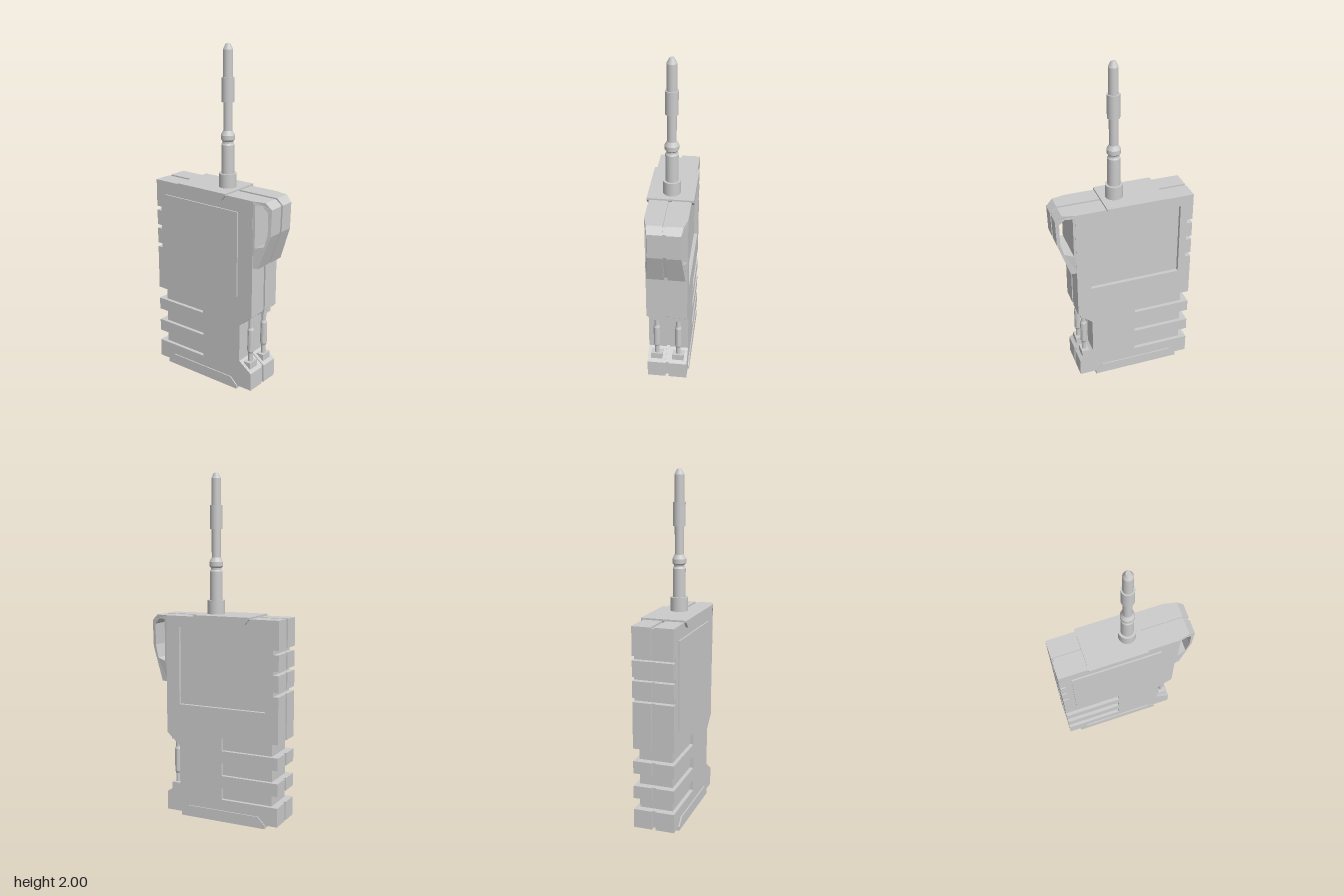
import * as THREE from 'three';

const BACK = -0.408;
const mat = new THREE.MeshStandardMaterial({ color: 0xcccccc, flatShading: true });
const smooth = new THREE.MeshStandardMaterial({ color: 0xcccccc });
const toShape = pts => new THREE.Shape(pts.map(p => new THREE.Vector2(p[0], p[1])));

// Extrudes a (z, y) outline sideways from x0 to x1
function slab(pts, x0, x1, holes = []) {
  const shape = toShape(pts);
  holes.forEach(h => shape.holes.push(toShape(h)));
  const geo = new THREE.ExtrudeGeometry(shape, { depth: x1 - x0, bevelEnabled: false });
  return geo.rotateY(-Math.PI / 2).translate(x1, 0, 0);
}

// Side outline of the body: d insets it, slotEnd is how far the rear slots reach forward
function bodyOutline(d, slotEnd) {
  const f = 0.3 - d, b = BACK + d;
  const pts = [[f, 1.19 - d], [f, 0.495], [0.215 - d, 0.42], [0.215 - d, 0.19], [f, 0.13], [f, 0.02 + d], [b, 0.02 + d]];
  const slots = [
    [0.13, 0.198, slotEnd], [0.272, 0.347, slotEnd], [0.42, 0.495, slotEnd],
    [0.765, 0.79, -0.375], [0.885, 0.908, -0.375], [1.0, 1.025, -0.375],
  ];
  for (const [y0, y1, end] of slots) pts.push([b, y0], [end, y0], [end, y1], [b, y1]);
  pts.push([b, 1.19 - d]);
  return pts;
}

const handleHole = [[0.313, 1.168], [0.355, 1.168], [0.386, 1.135], [0.386, 1.01], [0.366, 0.935], [0.313, 0.92]];
const handleOutline = d => [
  [0.29, 0.8 + d], [0.333 - d, 0.8 + d], [0.403 - d, 1.0], [0.408 - d, 1.155], [0.37 - d / 2, 1.19 - d], [0.29, 1.19 - d],
];

export function createModel() {
  const model = new THREE.Group();
  const add = (name, geo, material = mat, parent = model) => {
    const mesh = new THREE.Mesh(geo, material);
    mesh.name = name;
    parent.add(mesh);
    return mesh;
  };

  // Centre core, set back to leave a seam groove between the halves
  add('seamCore', slab(bodyOutline(0.01, -0.365), -0.01, 0.01));
  add('handleCore', slab(handleOutline(0.01), -0.01, 0.01, [handleHole]));

  // Two body halves, each with an inner block and an outer skin with longer slots
  const recess = [[0.217, 0.67], [0.217, 1.125], [-0.33, 1.125], [-0.33, 0.67]];
  for (const s of [1, -1]) {
    const side = s > 0 ? 'left' : 'right';
    const span = (a, b) => (s > 0 ? [a, b] : [-b, -a]);
    add(side + 'BodyHalf', slab(bodyOutline(0, -0.365), ...span(0.01, 0.098)));
    add(side + 'BodySkin', slab(bodyOutline(0, -0.058), ...span(0.098, 0.12), s > 0 ? [recess] : []));

    // Looped front handle, narrowing towards the front
    const handle = slab(handleOutline(0), ...span(0.01, 0.12), [handleHole]);
    const p = handle.attributes.position;
    for (let i = 0; i < p.count; i++) {
      if (Math.abs(p.getX(i)) > 0.05) p.setX(i, s * (0.12 - 0.25 * Math.max(0, p.getZ(i) - 0.3)));
    }
    handle.computeVertexNormals();
    add(side + 'HandleHalf', handle);

    // Contact pin standing in the front recess
    const pin = new THREE.Group();
    pin.name = side + 'ContactPin';
    pin.position.set(s * 0.065, 0, 0.257);
    model.add(pin);
    add('pinTopBlock', new THREE.BoxGeometry(0.07, 0.03, 0.046).translate(0, 0.467, 0), mat, pin);
    add('pinBottomBlock', new THREE.BoxGeometry(0.07, 0.045, 0.046).translate(0, 0.162, 0), mat, pin);
    const profile = [[0.014, 0.17], [0.014, 0.235], [0.02, 0.25], [0.02, 0.385], [0.014, 0.4], [0.014, 0.46]];
    add('pinShaft', new THREE.LatheGeometry(profile.map(q => new THREE.Vector2(...q)), 12), mat, pin);
  }

  // Raised panel on the right side
  add('sidePanel', new THREE.BoxGeometry(0.01, 0.51, 0.535).translate(-0.124, 0.855, -0.068));

  // Top cap and bottom plate wrap over the sides with slanted ends
  add('topCap', slab([[0.117, 1.2], [0.117, 1.188], [0.09, 1.157], [-0.206, 1.157], [-0.233, 1.188], [-0.233, 1.2]], -0.133, 0.133));
  add('bottomPlate', slab([[0.2, 0], [0.2, 0.022], [0.155, 0.065], [-0.29, 0.065], [-0.333, 0.022], [-0.333, 0]], -0.127, 0.127));

  // Antenna, each stepped section lathed separately to keep crisp edges
  const antenna = new THREE.Group();
  antenna.name = 'antenna';
  antenna.position.z = 0.034;
  model.add(antenna);
  const sections = [
    [[0.051, 1.19], [0.051, 1.28]], [[0.051, 1.28], [0.037, 1.28]],
    [[0.037, 1.28], [0.037, 1.445]], [[0.037, 1.445], [0.031, 1.455]], [[0.031, 1.455], [0.031, 1.465]],
    [[0.031, 1.465], [0.04, 1.475]], [[0.04, 1.475], [0.04, 1.5]], [[0.04, 1.5], [0.026, 1.525]],
    [[0.026, 1.525], [0.026, 1.685]], [[0.026, 1.685], [0.036, 1.685]], [[0.036, 1.685], [0.036, 1.82]],
    [[0.036, 1.82], [0.028, 1.82]], [[0.028, 1.82], [0.028, 1.97]], [[0.028, 1.97], [0.013, 2]], [[0.013, 2], [0, 2]],
  ];
  for (const sec of sections) {
    add('antennaSection', new THREE.LatheGeometry(sec.map(q => new THREE.Vector2(...q)), 24), smooth, antenna);
  }
  return model;
}
